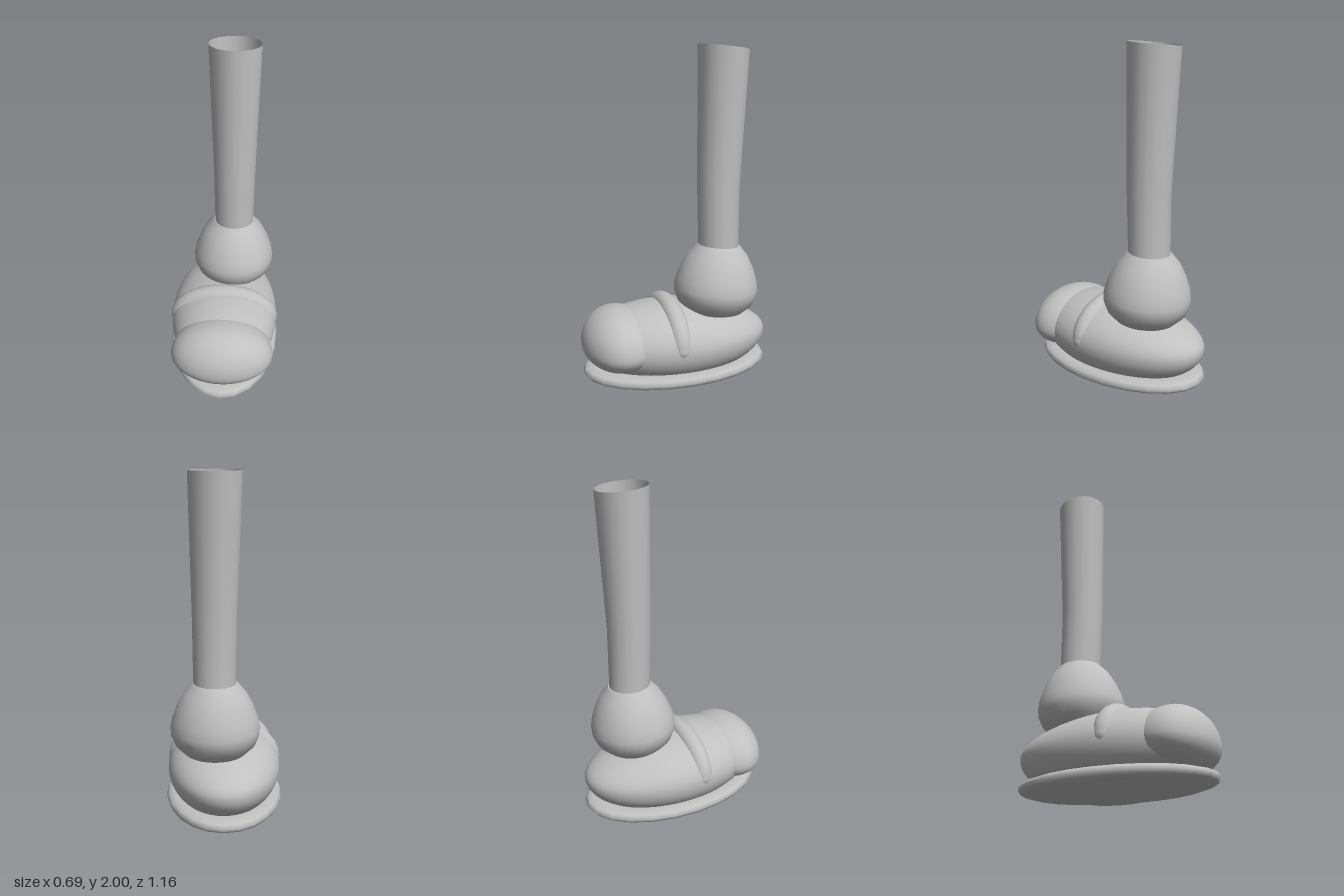
import * as THREE from 'three';
import { mergeVertices } from 'three/addons/utils/BufferGeometryUtils.js';

const grey = new THREE.MeshStandardMaterial({ color: 0xc0c0c0, side: THREE.DoubleSide });
grey.name = 'grey';

// Move every vertex of a geometry by a rule, then weld it and smooth its normals
function reshape(geometry, rule) {
  const p = geometry.attributes.position;
  const v = new THREE.Vector3();
  for (let i = 0; i < p.count; i++) {
    rule(v.fromBufferAttribute(p, i));
    p.setXYZ(i, v.x, v.y, v.z);
  }
  geometry.deleteAttribute('uv');
  geometry.deleteAttribute('normal');
  const welded = mergeVertices(geometry, 1e-5);
  welded.computeVertexNormals();
  return welded;
}

function lathe(points, segments) {
  return new THREE.LatheGeometry(points.map(([r, y]) => new THREE.Vector2(r, y)), segments);
}

export function createModel() {
  const model = new THREE.Group();
  model.name = 'legWithShoe';
  const add = (name, geometry, parent = model) => {
    const mesh = new THREE.Mesh(geometry, grey);
    mesh.name = name;
    parent.add(mesh);
    return mesh;
  };

  // Oval sole with a rounded rim and a shallow bulge underneath
  const sole = add('sole', lathe([
    [0, 0], [0.15, 0.005], [0.3, 0.014], [0.5, 0.036], [0.7, 0.05], [0.87, 0.06],
    [0.97, 0.077], [1, 0.1], [0.97, 0.122], [0.9, 0.133], [0.8, 0.135], [0, 0.135],
  ], 24));
  sole.scale.set(0.347, 1, 0.577);

  // Shoe body: ellipsoid with a flat underside, its top rising to the front
  add('shoeBody', reshape(new THREE.SphereGeometry(1, 48, 32), (v) => {
    const up = Math.max(v.y, 0);
    v.x *= 0.335;
    v.z *= v.z > 0 ? 0.56 : 0.573;
    v.y = Math.max(0.13, 0.27 + v.y * (v.y > 0 ? 0.22 : 0.24) + 0.07 * v.z * up);
  }));

  // Bulging toe cap
  add('toeCap', reshape(new THREE.SphereGeometry(1, 40, 28), (v) => {
    v.x *= 0.31;
    v.y = 0.27 + v.y * (v.y > 0 ? 0.215 : 0.15);
    v.z = 0.37 + v.z * (v.z > 0 ? 0.21 : 0.25);
  }));

  // Padded strap arched over the instep, with rounded ends
  const strap = new THREE.Group();
  strap.name = 'strap';
  model.add(strap);
  const arc = [];
  for (let i = 0; i <= 16; i++) {
    const a = (i / 16) * Math.PI;
    arc.push(new THREE.Vector3(0.28 * Math.cos(a), 0.29 + 0.18 * Math.sin(a), 0.058));
  }
  add('strapBand', new THREE.TubeGeometry(new THREE.CatmullRomCurve3(arc), 40, 0.06, 16), strap);
  for (const side of [-1, 1]) {
    add('strapEnd', new THREE.SphereGeometry(0.06, 16, 12), strap).position.set(0.28 * side, 0.29, 0.058);
  }

  // Ankle cuff: a ball with a flat top, leaning slightly back
  const cuff = new THREE.Group();
  cuff.name = 'ankleCuff';
  cuff.position.set(0.048, 0.55, -0.24);
  cuff.rotation.x = -0.07;
  model.add(cuff);
  add('cuffBall', lathe([
    [0, -0.16], [0.1, -0.15], [0.18, -0.12], [0.23, -0.07], [0.252, -0.015], [0.254, 0.025],
    [0.243, 0.08], [0.217, 0.15], [0.177, 0.225], [0.125, 0.283],
  ], 32), cuff);
  const cap = add('cuffTop', new THREE.CircleGeometry(0.125, 32), cuff);
  cap.position.y = 0.283;
  cap.rotation.x = -Math.PI / 2;

  // Open leg tube, widening upwards, with slanted ends
  const rings = [
    { y: 0.828, r: 0.121, x: 0.05, z: -0.255 },
    { y: 1.2, r: 0.126, x: 0.05, z: -0.25 },
    { y: 1.985, r: 0.148, x: 0.046, z: -0.273 },
  ];
  add('leg', reshape(new THREE.CylinderGeometry(1, 1, 2, 18, 2, true), (v) => {
    const ring = rings[Math.round(v.y) + 1];
    v.set(ring.x + v.x * ring.r, ring.y + 0.1 * v.z * ring.r, ring.z + v.z * ring.r);
  }));

  return model;
}
